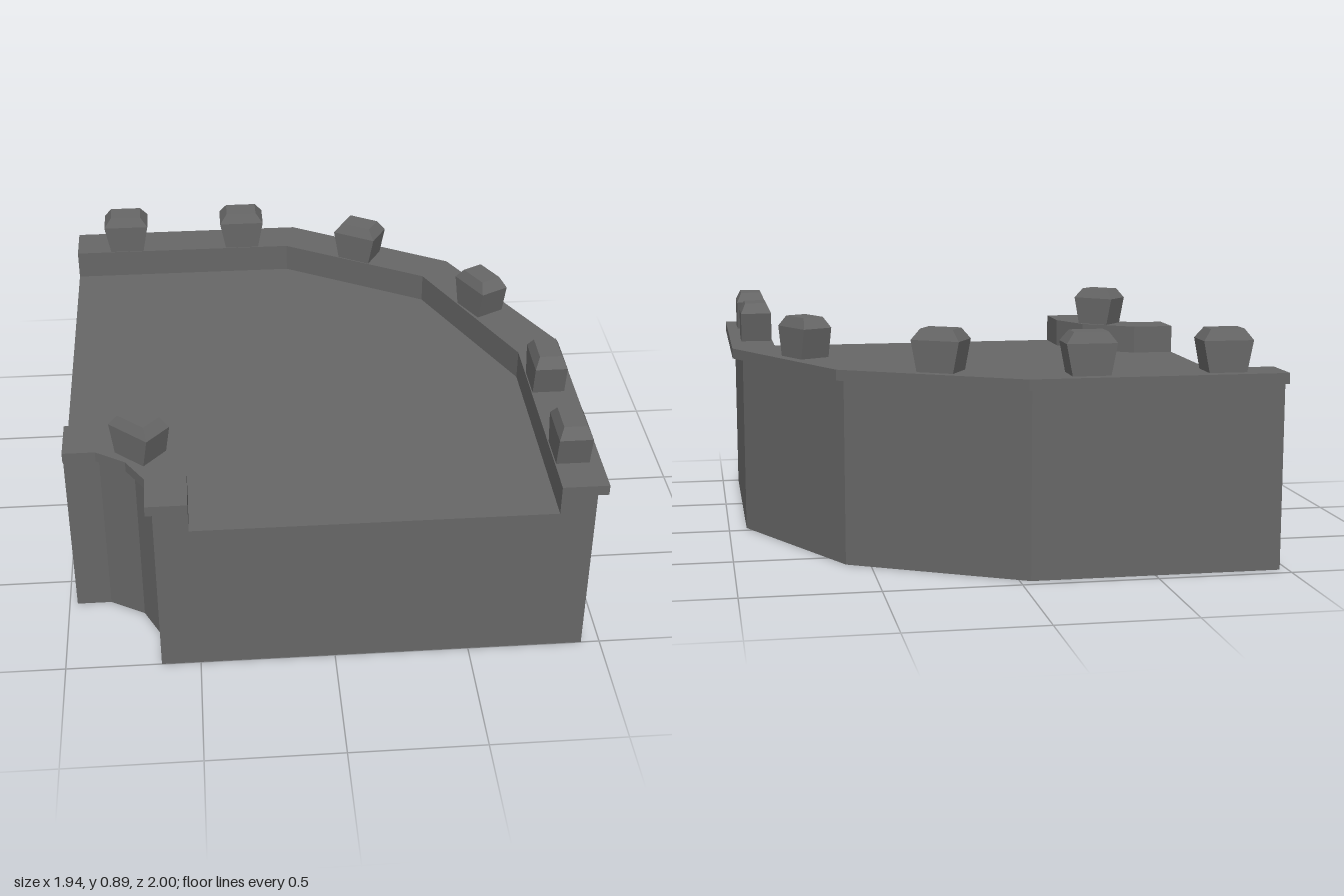
import * as THREE from 'three';

// Plan outlines are [x, z] points
const outerBody = [[-0.97, -0.955], [-0.04, -0.955], [0.59, -0.61], [0.93, 0.04], [0.93, 1]];
const outerCap = [[-0.97, -1], [-0.02, -1], [0.62, -0.64], [0.97, 0.03], [0.97, 1]];
const outerInside = [[-0.97, -0.83], [-0.06, -0.83], [0.5, -0.52], [0.8, 0.11], [0.8, 1]];
const cornerBody = [[-0.97, 0.635], [-0.84, 0.635], [-0.71, 0.71], [-0.645, 0.84], [-0.645, 1]];
const cornerCap = [[-0.97, 0.66], [-0.85, 0.66], [-0.74, 0.73], [-0.67, 0.84], [-0.67, 1]];
const cornerInside = [[-0.97, 0.485], [-0.8, 0.485], [-0.6, 0.63], [-0.52, 0.8], [-0.52, 1]];

const FLOOR = 0.62, LEDGE = 0.695, TOP = 0.735;

export function createModel() {
  const group = new THREE.Group();
  const stone = new THREE.MeshStandardMaterial({ color: 0x666666, flatShading: true });
  stone.name = 'dark stone';

  // Vertical prism between two plan lines that run the same way
  function prism(name, lineA, lineB, y0, y1) {
    const outline = [...lineA, ...[...lineB].reverse()].map(([x, z]) => new THREE.Vector2(x, z));
    const geo = new THREE.ExtrudeGeometry(new THREE.Shape(outline), { depth: y1 - y0, bevelEnabled: false });
    geo.rotateX(Math.PI / 2).translate(0, y1, 0);
    const mesh = new THREE.Mesh(geo, stone);
    mesh.name = name;
    group.add(mesh);
  }

  // Solid base whose top is the walkway
  prism('base', outerBody, cornerBody, 0, FLOOR);

  // Parapets and their overhanging caps
  prism('outerParapet', outerBody, outerInside, FLOOR, LEDGE);
  prism('outerCap', outerCap, outerInside, LEDGE, TOP);
  prism('cornerParapet', cornerBody, cornerInside, FLOOR, LEDGE);
  prism('cornerCap', cornerCap, cornerInside, LEDGE, TOP);

  // Merlon: flares along its length up to a shoulder, then a chamfered top
  const levels = [
    { y: TOP, w: 0.14, d: 0.122 },
    { y: 0.85, w: 0.185, d: 0.122 },
    { y: 0.89, w: 0.125, d: 0.085 },
  ];
  const merlonGeo = new THREE.BoxGeometry(1, 2, 1, 1, 2, 1);
  const p = merlonGeo.attributes.position;
  for (let i = 0; i < p.count; i++) {
    const { y, w, d } = levels[Math.round(p.getY(i) + 1)];
    p.setXYZ(i, p.getX(i) * w, y, p.getZ(i) * d);
  }
  merlonGeo.computeVertexNormals();

  // x, z, turn in degrees
  const merlons = [
    [-0.755, -0.895, 0], [-0.255, -0.895, 0], [0.25, -0.733, -30], [0.703, -0.257, -62],
    [0.865, 0.325, -90], [0.865, 0.787, -90], [-0.685, 0.667, -42],
  ];
  merlons.forEach(([x, z, turn], i) => {
    const mesh = new THREE.Mesh(merlonGeo, stone);
    mesh.name = `merlon${i + 1}`;
    mesh.position.set(x, 0, z);
    mesh.rotation.y = THREE.MathUtils.degToRad(turn);
    group.add(mesh);
  });

  return group;
}
